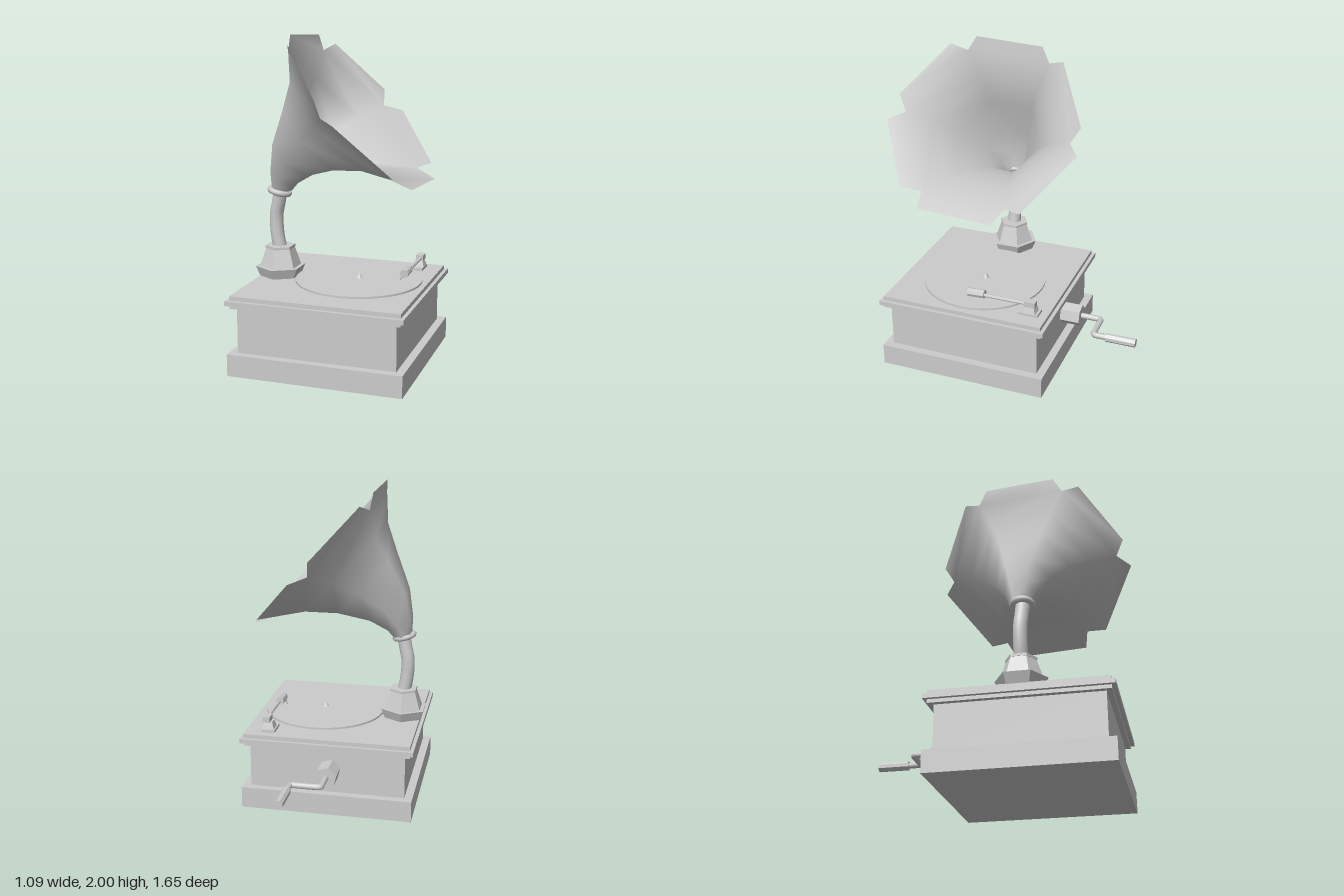
import * as THREE from 'three';

const smooth = new THREE.MeshStandardMaterial({ color: 0xcccccc });
const flat = new THREE.MeshStandardMaterial({ color: 0xcccccc, flatShading: true });
const thin = new THREE.MeshStandardMaterial({ color: 0xcccccc, side: THREE.DoubleSide });

const CZ = 0.205; // middle of the cabinet in z
const V = (x, y, z) => new THREE.Vector3(x, y, z);

export function createModel() {
  const model = new THREE.Group();

  const add = (name, geometry, material, x = 0, y = 0, z = 0) => {
    const mesh = new THREE.Mesh(geometry, material);
    mesh.name = name;
    mesh.position.set(x, y, z);
    model.add(mesh);
    return mesh;
  };
  // Box with a square footprint between two heights
  const slab = (name, width, y0, y1) =>
    add(name, new THREE.BoxGeometry(width, y1 - y0, width), flat, 0, (y0 + y1) / 2, CZ);
  // Upright tapered prism between two heights
  const prism = (name, r0, r1, y0, y1, sides, x, z, material = flat) =>
    add(name, new THREE.CylinderGeometry(r1, r0, y1 - y0, sides), material, x, (y0 + y1) / 2, z);
  // Rod along z
  const rod = (name, r, z0, z1, sides, x, y, turn = 0) => {
    const geometry = new THREE.CylinderGeometry(r, r, Math.abs(z1 - z0), sides);
    geometry.rotateY(turn).rotateX(Math.PI / 2);
    return add(name, geometry, flat, x, y, (z0 + z1) / 2);
  };

  // Cabinet
  slab('plinth', 1.08, 0, 0.135);
  slab('cabinetBody', 0.98, 0.135, 0.415);
  slab('lowerMoulding', 1.045, 0.415, 0.437);
  slab('lidEdge', 1.09, 0.437, 0.466);
  slab('lid', 1.045, 0.466, 0.492);

  // Turntable
  prism('turntableHub', 0.08, 0.08, 0.49, 0.506, 24, 0.11, CZ, smooth);
  prism('record', 0.39, 0.39, 0.505, 0.517, 48, 0.11, CZ, smooth);
  prism('spindle', 0.025, 0.002, 0.515, 0.552, 8, 0.11, CZ);

  // Hexagonal horn stand
  prism('standFoot', 0.13, 0.157, 0.49, 0.555, 6, -0.41, CZ);
  prism('standBody', 0.13, 0.09, 0.555, 0.672, 6, -0.41, CZ);
  prism('standRim', 0.094, 0.094, 0.67, 0.686, 6, -0.41, CZ);

  // Curved neck and collar
  const neckPath = new THREE.CatmullRomCurve3([
    V(-0.41, 0.66, CZ), V(-0.428, 0.76, CZ), V(-0.432, 0.88, CZ), V(-0.415, 0.96, CZ + 0.005), V(-0.398, 1.04, CZ + 0.01),
  ]);
  add('neck', new THREE.TubeGeometry(neckPath, 16, 0.043, 12, false), smooth);
  const collar = add('collar', new THREE.TorusGeometry(0.06, 0.019, 8, 16), smooth, -0.405, 1.032, CZ + 0.01);
  collar.quaternion.setFromUnitVectors(V(0, 0, 1), V(0.25, 0.97, 0).normalize());

  add('horn', hornGeometry(), thin);

  // Winding crank
  rod('crankBoss', 0.07, -0.27, -0.412, 6, -0.02, 0.285, 0.25);
  const crankPath = new THREE.CurvePath();
  const c = [V(-0.02, 0.285, -0.4), V(-0.02, 0.285, -0.52), V(0.005, 0.285, -0.545),
    V(0.145, 0.285, -0.545), V(0.17, 0.285, -0.57), V(0.17, 0.285, -0.64)];
  crankPath.add(new THREE.LineCurve3(c[0], c[1]));
  crankPath.add(new THREE.QuadraticBezierCurve3(c[1], V(-0.02, 0.285, -0.545), c[2]));
  crankPath.add(new THREE.LineCurve3(c[2], c[3]));
  crankPath.add(new THREE.QuadraticBezierCurve3(c[3], V(0.17, 0.285, -0.545), c[4]));
  crankPath.add(new THREE.LineCurve3(c[4], c[5]));
  add('crankArm', new THREE.TubeGeometry(crankPath, 48, 0.019, 8, false), smooth);
  rod('crankHandle', 0.028, -0.63, -0.822, 8, 0.17, 0.285, Math.PI / 8);

  // Tone arm
  add('toneArmBase', new THREE.BoxGeometry(0.085, 0.018, 0.13), flat, 0.38, 0.5, -0.2);
  const post = prism('toneArmPost', 0.055, 0.036, 0.508, 0.552, 4, 0.385, -0.21);
  post.rotation.y = Math.PI / 4;
  add('toneArmPivot', new THREE.BoxGeometry(0.045, 0.035, 0.07), flat, 0.395, 0.568, -0.21);
  rod('toneArm', 0.011, -0.22, 0.12, 8, 0.4, 0.566);
  const head = rod('soundBox', 0.027, 0.09, 0.2, 8, 0.395, 0.568);
  head.rotation.x = 0.04;
  const needle = prism('needle', 0.003, 0.01, 0.517, 0.56, 6, 0.375, 0.18);
  needle.rotation.z = -0.5;

  return model;
}

// Six-sided flaring horn; each side ends in a petal with notches between
function hornGeometry() {
  // centre x, centre y, tilt normal x, normal y, corner radius
  const rings = [
    [-0.4, 1.035, 0.25, 0.97, 0.06],
    [-0.38, 1.115, 0.46, 0.89, 0.094],
    [-0.31, 1.237, 0.63, 0.777, 0.166],
    [-0.165, 1.375, 0.73, 0.683, 0.275],
    [-0.03, 1.467, 0.74, 0.672, 0.39],
    [0.08, 1.543, 0.747, 0.665, 0.545],
  ];
  const roll = -0.055;
  const positions = [];
  const index = [];
  // Point in a ring's tilted plane: angle from its top toward +z, lifted along its normal
  const put = ([cx, cy, nx, ny], radius, angle, lift = 0) => {
    const up = radius * Math.cos(angle);
    positions.push(cx - ny * up + nx * lift, cy + nx * up + ny * lift, 0.2 + radius * Math.sin(angle));
  };
  const quad = (a, b, c, d) => index.push(a, b, c, a, c, d);

  rings.forEach((ring, r) => {
    for (let i = 0; i < 6; i++) {
      put(ring, ring[4], ((i - 0.5) * Math.PI) / 3 + roll);
      const j = (i + 1) % 6;
      if (r > 0) quad((r - 1) * 6 + i, (r - 1) * 6 + j, r * 6 + j, r * 6 + i);
    }
  });

  // Petals
  const mouth = rings[5];
  for (let i = 0; i < 6; i++) {
    const middle = (i * Math.PI) / 3 + roll;
    const radius = 0.618 - 0.026 * Math.cos(middle);
    const first = positions.length / 3;
    for (const side of [-1, 1]) put(mouth, radius, middle + side * 0.38, 0.055);
    quad(30 + i, 30 + ((i + 1) % 6), first + 1, first);
  }

  const geometry = new THREE.BufferGeometry();
  geometry.setAttribute('position', new THREE.Float32BufferAttribute(positions, 3));
  geometry.setIndex(index);
  geometry.computeVertexNormals();
  return geometry;
}
